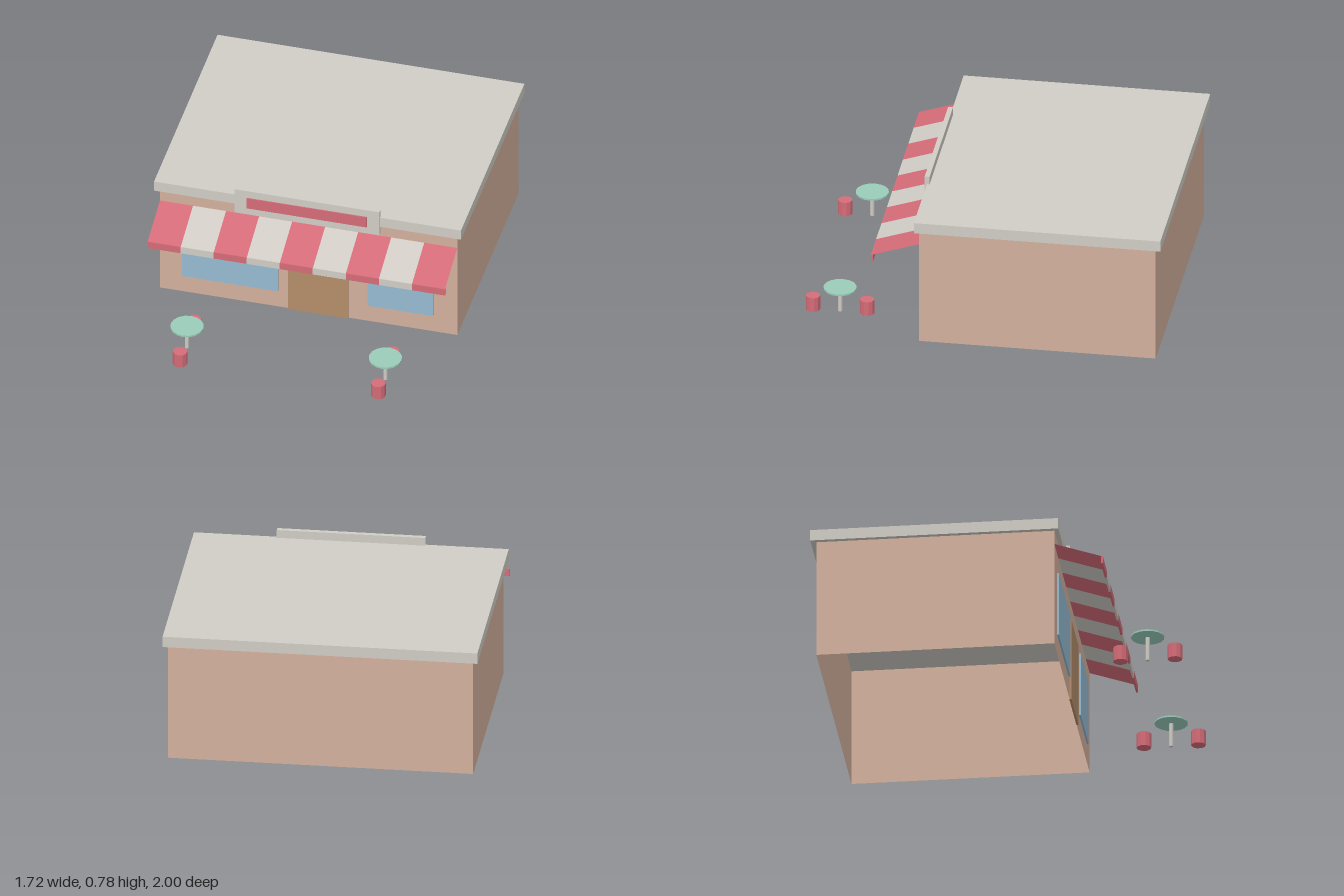
import * as THREE from 'three';

const mat = (name, color) => {
  const m = new THREE.MeshStandardMaterial({ color });
  m.name = name;
  return m;
};

export function createModel() {
  const wall = mat('wall tan', 0xd2b09c);
  const trim = mat('pale grey', 0xd0ccc5);
  const red = mat('awning red', 0xd46c78);
  const glass = mat('window blue', 0x96bad2);
  const wood = mat('door brown', 0xb48c69);
  const green = mat('table green', 0x9accba);
  // Open shells are seen from both sides
  for (const m of [wall, trim, red]) m.side = THREE.DoubleSide;
  for (const m of [trim, red, wall, glass, wood, green]) m.flatShading = true;

  const model = new THREE.Group();
  model.name = 'cafe';

  const add = (parent, name, geometry, material, x = 0, y = 0, z = 0) => {
    const mesh = new THREE.Mesh(geometry, material);
    mesh.name = name;
    mesh.position.set(x, y, z);
    parent.add(mesh);
    return mesh;
  };
  // Box given by its limits along each axis
  const block = (parent, name, material, x0, x1, y0, y1, z0, z1) =>
    add(parent, name, new THREE.BoxGeometry(x1 - x0, y1 - y0, z1 - z0), material,
      (x0 + x1) / 2, (y0 + y1) / 2, (z0 + z1) / 2);

  const W = 0.835, FRONT = 0.332, BACK = -0.97, H = 0.675;

  // Thin walls, open at the bottom
  const walls = new THREE.Group();
  walls.name = 'walls';
  model.add(walls);
  const midZ = (FRONT + BACK) / 2, depth = FRONT - BACK;
  add(walls, 'frontWall', new THREE.PlaneGeometry(2 * W, H), wall, 0, H / 2, FRONT);
  add(walls, 'backWall', new THREE.PlaneGeometry(2 * W, H), wall, 0, H / 2, BACK).rotation.y = Math.PI;
  for (const s of [-1, 1]) {
    add(walls, s > 0 ? 'leftWall' : 'rightWall', new THREE.PlaneGeometry(depth, H), wall,
      s * W, H / 2, midZ).rotation.y = s * Math.PI / 2;
  }

  // Overhanging roof slab
  block(model, 'roof', trim, -0.862, 0.862, H, 0.737, -1, 0.356);

  // Windows and door reach just through the wall
  block(model, 'wideWindow', glass, -0.708, -0.17, 0.11, 0.48, 0.329, 0.342);
  block(model, 'narrowWindow', glass, 0.333, 0.703, 0.11, 0.48, 0.329, 0.342);
  block(model, 'door', wood, -0.112, 0.223, 0, 0.475, 0.33, 0.342);

  // Blank sign board
  block(model, 'signBoard', trim, -0.407, 0.407, 0.625, 0.783, 0.342, 0.369);
  block(model, 'signPanel', red, -0.337, 0.337, 0.67, 0.738, 0.366, 0.375);

  // Striped awning: a sloped sheet with a hanging valance
  const awning = new THREE.Group();
  awning.name = 'awning';
  model.add(awning);
  const stripes = 9, sw = 2 * W / stripes;
  const topY = 0.595, lowY = 0.508, lowZ = 0.592;
  const run = lowZ - FRONT, drop = topY - lowY;
  for (let i = 0; i < stripes; i++) {
    const material = i % 2 ? trim : red;
    const x = -W + (i + 0.5) * sw;
    const slope = add(awning, 'awningStripe', new THREE.PlaneGeometry(sw, Math.hypot(run, drop)),
      material, x, (topY + lowY) / 2, (FRONT + lowZ) / 2);
    slope.rotation.x = -Math.atan2(run, drop);
    block(awning, 'valanceStripe', material, x - sw / 2, x + sw / 2, 0.466, lowY, 0.586, 0.597);
  }

  // Two round tables, each with two stools
  for (const s of [-1, 1]) {
    const set = new THREE.Group();
    set.name = s > 0 ? 'leftTableSet' : 'rightTableSet';
    set.position.set(s * 0.557, 0, 0.81);
    model.add(set);
    add(set, 'tableTop', new THREE.CylinderGeometry(0.091, 0.091, 0.01, 16), green, 0, 0.141, 0);
    add(set, 'tableLeg', new THREE.CylinderGeometry(0.012, 0.012, 0.137, 8), trim, 0, 0.0685, 0);
    for (const dz of [-0.149, 0.149]) {
      add(set, 'stool', new THREE.CylinderGeometry(0.04, 0.04, 0.083, 10), red, 0, 0.0415, dz);
    }
  }

  return model;
}
